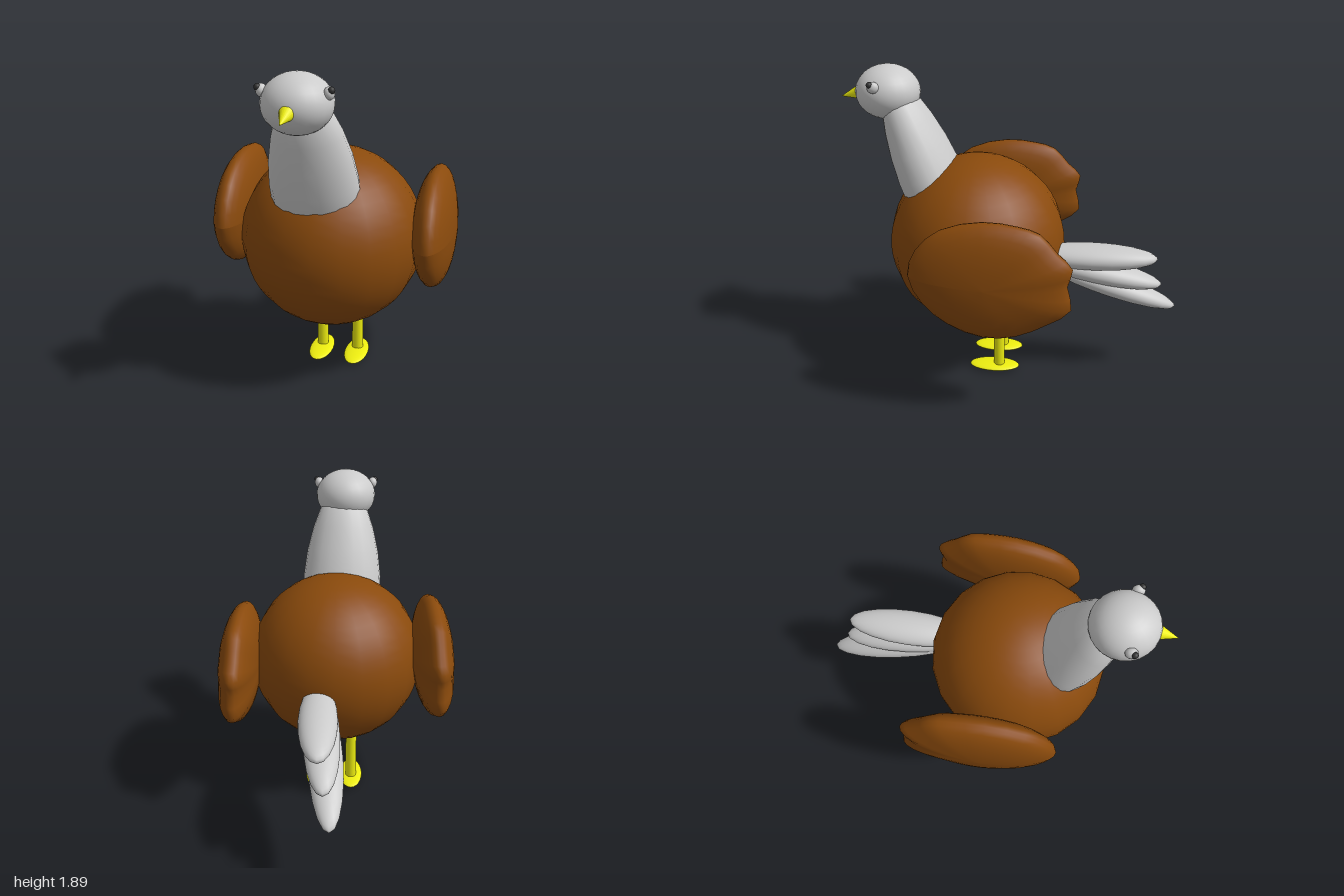
import * as THREE from 'three';

const mat = (color, side = THREE.FrontSide) => new THREE.MeshStandardMaterial({ color, side });
const grey = mat(0xcccccc), brown = mat(0x8a4a0c), yellow = mat(0xeeee10), dark = mat(0x333333);
const neckMat = mat(0xcccccc, THREE.DoubleSide);
const UP = new THREE.Vector3(0, 1, 0);

function add(parent, name, geometry, material, pos = [0, 0, 0]) {
  const mesh = new THREE.Mesh(geometry, material);
  mesh.name = name;
  mesh.position.set(...pos);
  parent.add(mesh);
  return mesh;
}

function ellipsoid(parent, name, material, pos, radii, w = 24, h = 16) {
  const mesh = add(parent, name, new THREE.SphereGeometry(1, w, h), material, pos);
  mesh.scale.set(...radii);
  return mesh;
}

// Wing outline as [z, y] offsets from the wing centre, with a notched rear edge
const wingOutline = new THREE.CatmullRomCurve3([
  [0.435, 0.01], [0.385, 0.16], [0.25, 0.285], [0.02, 0.345], [-0.17, 0.33], [-0.29, 0.295],
  [-0.385, 0.19], [-0.465, 0.105], [-0.44, 0], [-0.465, -0.14], [-0.35, -0.23],
  [-0.165, -0.325], [0.02, -0.345], [0.22, -0.275], [0.36, -0.155],
].map(([z, y]) => new THREE.Vector3(0, y, z)), true, 'centripetal');

// Lens-shaped wing: rings between two poles on x, each ring a scaled outline
function wingGeometry(halfThickness) {
  const geo = new THREE.SphereGeometry(1, 30, 16);
  const p = geo.attributes.position, uv = geo.attributes.uv;
  for (let i = 0; i < p.count; i++) {
    const theta = (1 - uv.getY(i)) * Math.PI;
    const o = wingOutline.getPoint(((uv.getX(i) % 1) + 1) % 1);
    const r = Math.sin(theta);
    p.setXYZ(i, Math.cos(theta) * halfThickness, o.y * r, o.z * r);
  }
  // Keep faces pointing outward
  const idx = geo.index.array;
  const [a, b, c] = [0, 1, 2].map(k => new THREE.Vector3().fromBufferAttribute(p, idx[900 + k]));
  const n = b.clone().sub(a).cross(c.clone().sub(a));
  if (n.dot(a) < 0) {
    for (let i = 0; i < idx.length; i += 3) [idx[i], idx[i + 1]] = [idx[i + 1], idx[i]];
  }
  geo.computeVertexNormals();
  return geo;
}

export function createModel() {
  const bird = new THREE.Group();
  bird.name = 'bird';

  // Body
  add(bird, 'body', new THREE.SphereGeometry(0.524, 20, 24), brown, [0, 0.849, 0.21]);

  // Neck: tapered and leaning forward, rooted inside the body
  const profile = [[0.235, -0.25], [0.245, -0.1], [0.243, 0], [0.224, 0.15], [0.188, 0.3], [0.145, 0.42], [0.08, 0.48]]
    .map(([r, y]) => new THREE.Vector2(r, y));
  const neck = add(bird, 'neck', new THREE.LatheGeometry(profile, 20), neckMat, [-0.032, 1.275, 0.505]);
  neck.scale.z = 0.76;
  neck.quaternion.setFromUnitVectors(UP, new THREE.Vector3(-0.02, 0.94, 0.35).normalize());

  // Head
  ellipsoid(bird, 'head', grey, [-0.052, 1.735, 0.72], [0.184, 0.155, 0.186], 24, 18);

  // Beak: cone dipping slightly towards its tip
  const tip = new THREE.Vector3(-0.06, 1.695, 1.0), root = new THREE.Vector3(-0.055, 1.735, 0.85);
  const beak = add(bird, 'beak', new THREE.ConeGeometry(0.055, tip.distanceTo(root), 20), yellow);
  beak.position.copy(tip).add(root).multiplyScalar(0.5);
  beak.quaternion.setFromUnitVectors(UP, tip.clone().sub(root).normalize());

  for (const side of [1, -1]) {
    const label = side > 0 ? 'left' : 'right';

    // Eye and pupil
    const eyeX = -0.052 + side * 0.168;
    ellipsoid(bird, label + 'Eye', grey, [eyeX, 1.8, 0.76], [0.028, 0.033, 0.034], 16, 12);
    ellipsoid(bird, label + 'Pupil', dark, [eyeX + side * 0.014, 1.817, 0.775], [0.018, 0.018, 0.018], 12, 10);

    // Leg and foot
    const legX = 0.014 + side * 0.111;
    add(bird, label + 'Leg', new THREE.CylinderGeometry(0.034, 0.034, 0.42, 20), yellow, [legX, 0.23, 0.07]);
    ellipsoid(bird, label + 'Foot', yellow, [legX, 0.018, 0.1], [0.073, 0.018, 0.156], 24, 12);

    // Wing, the right one set a little higher
    const wing = add(bird, label + 'Wing', wingGeometry(0.122), brown,
      [side * 0.58, side > 0 ? 0.885 : 0.94, 0.08]);
    wing.rotation.set(0, -side * 0.03, side * 0.035);
  }

  // Tail: three feathers fanning back from a rounded root
  const tail = new THREE.Group();
  tail.name = 'tail';
  bird.add(tail);
  ellipsoid(tail, 'tailRoot', grey, [0.09, 0.735, -0.25], [0.12, 0.09, 0.085]);
  const feathers = [
    ['upperFeather', [0.1, 0.815, -0.1], [0.085, 0.812, -0.868], 0.112, 0.073],
    ['middleFeather', [0.09, 0.8, -0.1], [0.055, 0.625, -0.905], 0.105, 0.07],
    ['lowerFeather', [0.08, 0.775, -0.15], [0.02, 0.46, -1.0], 0.1, 0.068],
  ];
  for (const [name, from, to, halfWidth, halfHeight] of feathers) {
    const a = new THREE.Vector3(...from), b = new THREE.Vector3(...to);
    const mid = a.clone().add(b).multiplyScalar(0.5);
    const feather = ellipsoid(tail, name, grey, mid.toArray(), [halfWidth, halfHeight, a.distanceTo(b) / 2], 20, 20);
    feather.lookAt(b);
  }
  return bird;
}
